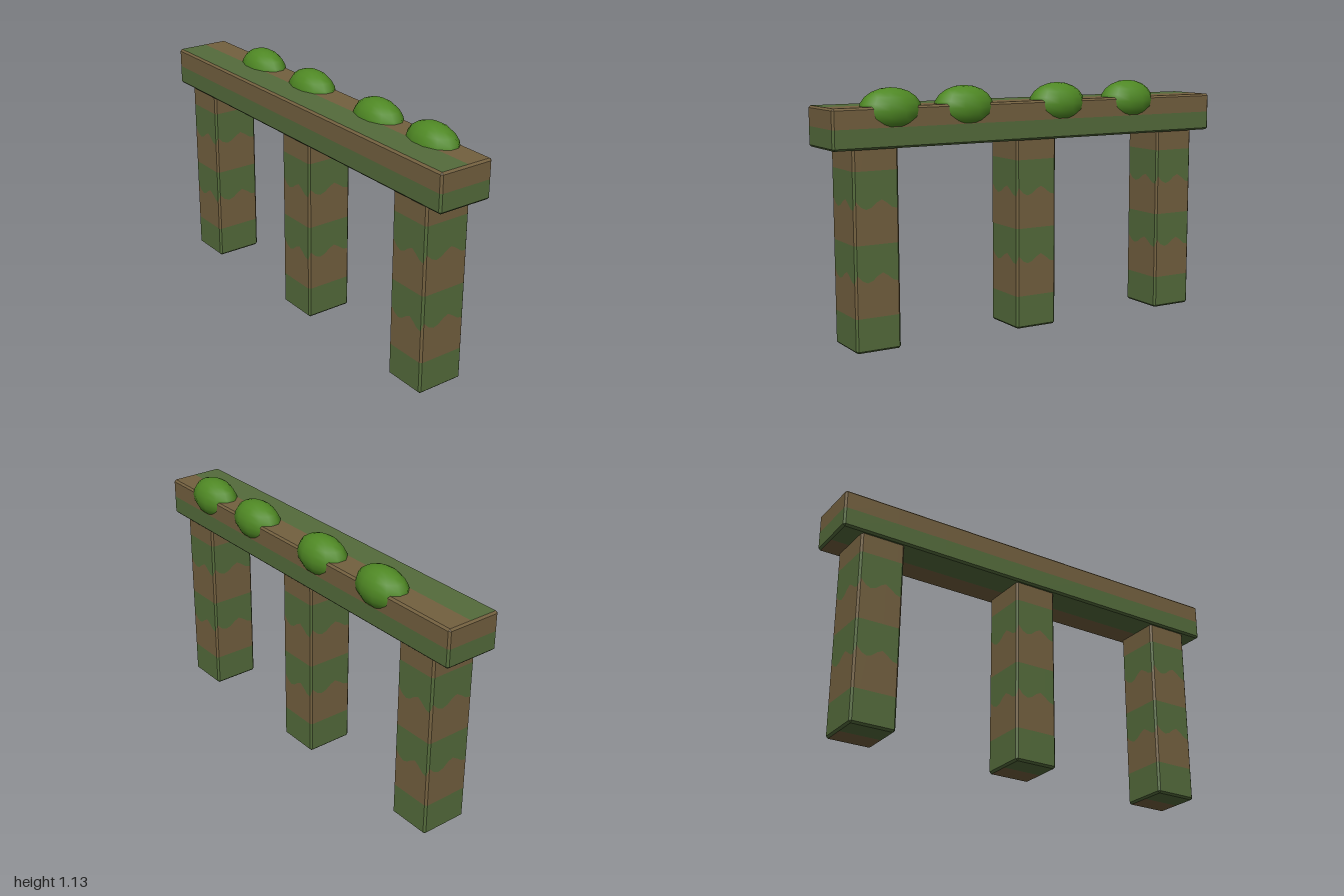
import * as THREE from 'three';

const mat = (name, color) => {
  const m = new THREE.MeshStandardMaterial({ color });
  m.name = name;
  return m;
};

const BEVEL = 0.009;
// Ripple of a wavy stripe edge across one side, left to right
const RIPPLE = [0.022, -0.005, -0.016, -0.008, 0.012, 0.024, 0.008, -0.012, -0.018];

// Outline of a block with chamfered corners, walked anticlockwise from above
function outline(w, d, inset) {
  const pts = [];
  const n = RIPPLE.length - 1;
  for (let side = 0; side < 4; side++) {
    const a = side * Math.PI / 2;
    const c = Math.round(Math.cos(a)), s = Math.round(Math.sin(a));
    const [width, depth] = side % 2 ? [d, w] : [w, d];
    for (let i = 0; i <= n; i++) {
      const x = (i / n - 0.5) * (width - 2 * BEVEL);
      const z = depth / 2 - inset;
      pts.push({ x: x * c + z * s, z: -x * s + z * c, ripple: RIPPLE[i] });
    }
  }
  return pts;
}

// Wall strip between two rings, each { y, inset, wavy }
function strip(w, d, lower, upper) {
  const ring = r => outline(w, d, r.inset || 0).map(
    p => [p.x, r.y + (r.wavy ? p.ripple : 0), p.z]);
  const lo = ring(lower), hi = ring(upper), pos = [];
  lo.forEach((p, i) => {
    const j = (i + 1) % lo.length;
    pos.push(...p, ...lo[j], ...hi[j], ...p, ...hi[j], ...hi[i]);
  });
  const g = new THREE.BufferGeometry();
  g.setAttribute('position', new THREE.Float32BufferAttribute(pos, 3));
  g.computeVertexNormals();
  return g;
}

// Chamfered block painted in horizontal bands; the caps are split into a back and a front colour
function stripedBlock(name, w, d, rings, colors, brown, green, capSplit) {
  const group = new THREE.Group();
  group.name = name;
  const add = (part, geo, material) => {
    const m = new THREE.Mesh(geo, material);
    m.name = part;
    group.add(m);
    return m;
  };
  const y0 = rings[0].y, y1 = rings[rings.length - 1].y;
  colors.forEach((c, i) => add('band', strip(w, d, rings[i], rings[i + 1]), c));
  add('lowerChamfer', strip(w, d, { y: y0 - BEVEL, inset: BEVEL }, rings[0]), colors[0]);
  add('upperChamfer', strip(w, d, rings[rings.length - 1], { y: y1 + BEVEL, inset: BEVEL }),
    colors[colors.length - 1]);
  const edge = d / 2 - BEVEL;
  for (const up of [1, -1]) {
    for (const [za, zb, c] of [[-edge, capSplit, brown], [capSplit, edge, green]]) {
      const cap = add(up > 0 ? 'topCap' : 'bottomCap',
        new THREE.PlaneGeometry(w - 2 * BEVEL, zb - za), c);
      cap.rotation.x = -up * Math.PI / 2;
      cap.position.set(0, up > 0 ? y1 + BEVEL : y0 - BEVEL, (za + zb) / 2);
    }
  }
  return group;
}

export function createModel() {
  const model = new THREE.Group();
  model.name = 'mossyColonnade';
  const brown = mat('earth brown', 0x73603f);
  const green = mat('moss green', 0x546b3b);
  const leaf = mat('leaf green', 0x4f8824);

  // Three banded pillars
  const pillarRings = [
    { y: BEVEL }, { y: 0.153 }, { y: 0.322, wavy: true }, { y: 0.47 },
    { y: 0.638, wavy: true }, { y: 0.786 }, { y: 0.885 },
  ];
  for (const x of [-0.8, 0, 0.8]) {
    const pillar = stripedBlock('pillar', 0.21, 0.23, pillarRings,
      [green, brown, green, brown, green, brown], brown, green, 0);
    pillar.position.set(x, 0, 0.014);
    model.add(pillar);
  }

  // Beam across the pillars
  const beam = stripedBlock('beam', 2, 0.266,
    [{ y: 0.877 + BEVEL }, { y: 0.966 }, { y: 1.054 - BEVEL }],
    [green, brown], brown, green, -0.012);
  beam.position.z = 0.013;
  model.add(beam);

  // Rounded bushes along the back edge
  const bushGeo = new THREE.SphereGeometry(1, 12, 10);
  bushGeo.rotateY(Math.PI / 12);
  bushGeo.scale(0.143, 0.096, 0.089);
  for (const x of [-0.535, -0.135, 0.355, 0.71]) {
    const bush = new THREE.Mesh(bushGeo, leaf);
    bush.name = 'bush';
    bush.position.set(x, 1.036, -0.06);
    model.add(bush);
  }
  return model;
}
